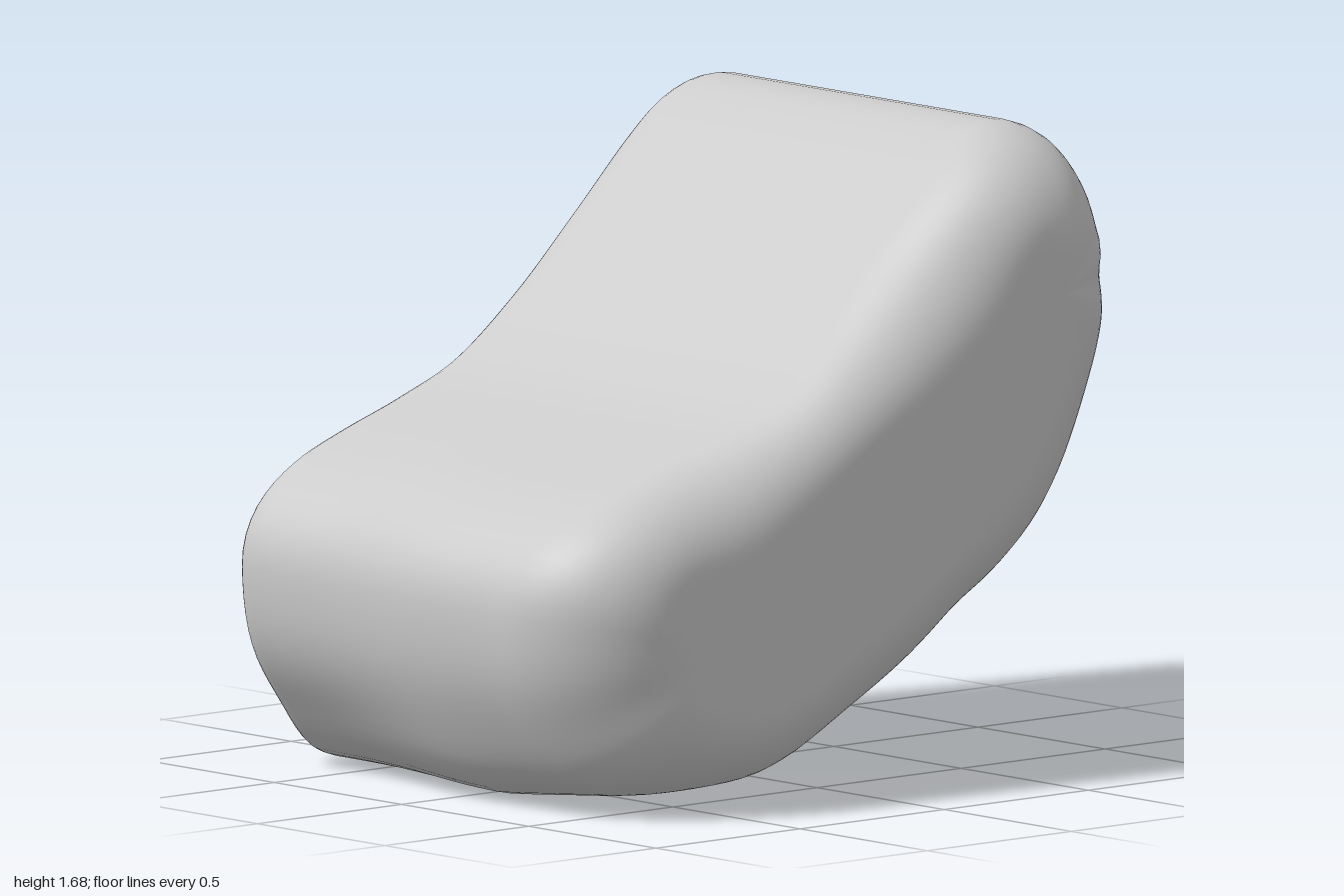
import * as THREE from 'three';

// Side outline as [z, y]: front, up over the seat and back, down the rear, along the underside
const OUTLINE = [
  [1.0, 0.5], [0.995, 0.6], [0.96, 0.68], [0.89, 0.75], [0.77, 0.815], [0.6, 0.875], [0.4, 0.94],
  [0.2, 1.02], [0, 1.17], [-0.2, 1.36], [-0.4, 1.55], [-0.5, 1.63], [-0.6, 1.675], [-0.7, 1.682],
  [-0.8, 1.65], [-0.9, 1.56], [-0.97, 1.46], [-0.998, 1.38], [-0.95, 1.25], [-0.83, 0.97],
  [-0.7, 0.69], [-0.6, 0.53], [-0.5, 0.43], [-0.35, 0.35], [0, 0.165], [0.2, 0.06], [0.32, 0.02],
  [0.5, 0.003], [0.65, 0.005], [0.76, 0.025], [0.84, 0.08], [0.93, 0.23], [0.98, 0.36],
];
const HALF = 0.738;
const COUNT = 128;
const { smoothstep, lerp, clamp } = THREE.MathUtils;

// Corners worn down along part of the width: place [z, y], reach, depth, x where it starts and is full
const SOFT_CORNERS = [
  { at: new THREE.Vector2(-0.48, 0.42), reach: 0.25, depth: 0.05, from: -0.2, to: 0.7 },
  { at: new THREE.Vector2(-0.99, 1.37), reach: 0.16, depth: 0.05, from: 0.2, to: 0.7 },
  { at: new THREE.Vector2(0.84, 0.08), reach: 0.18, depth: 0.04, from: 0.1, to: -0.6 },
];

// How far the outline shrinks at x for an edge of radius r ending at HALF
function edgeInset(x, r) {
  const u = clamp((x - HALF + r) / r, 0, 1);
  return r * (1 - Math.sqrt(1 - u * u));
}

// Average each profile point's inset direction and edge radius with its neighbours
function soften(profile) {
  return profile.map((s, j) => {
    const a = profile[(j + COUNT - 1) % COUNT];
    const b = profile[(j + 1) % COUNT];
    return {
      p: s.p,
      dir: s.dir.clone().multiplyScalar(2).add(a.dir).add(b.dir).normalize(),
      left: (a.left + 2 * s.left + b.left) / 4,
      right: (a.right + 2 * s.right + b.right) / 4,
    };
  });
}

function createProfile() {
  const curve = new THREE.CatmullRomCurve3(
    OUTLINE.map(([z, y]) => new THREE.Vector3(z, y, 0)), true, 'centripetal');
  const outline = curve.getSpacedPoints(COUNT).slice(0, COUNT)
    .map((p) => new THREE.Vector2(p.x, p.y));

  // Bent centre line that the rounded edges shrink towards
  const spine = new THREE.QuadraticBezierCurve(
    new THREE.Vector2(0.5, 0.45), new THREE.Vector2(-0.15, 0.55), new THREE.Vector2(-0.62, 1.25));
  const spinePoints = spine.getPoints(60);
  const frontDir = spine.getTangent(0).negate();
  const topDir = spine.getTangent(1);

  let profile = outline.map((p) => {
    const q = spinePoints.reduce((a, b) => (b.distanceTo(p) < a.distanceTo(p) ? b : a));
    const dir = q.clone().sub(p).normalize();
    const atEnd = smoothstep(Math.max(-dir.dot(frontDir), -dir.dot(topDir)), 0.15, 0.95);
    // Seat edge is tighter than the underside edge
    const side = dir.y > 0 ? 0.17 : 0.09;
    return { p, dir, left: lerp(0.06, 0.1, atEnd), right: lerp(side, 0.35, atEnd) };
  });
  for (let i = 0; i < 20; i++) profile = soften(profile);
  return profile;
}

// Outline point of the section at x
function sectionPoint({ p, dir, left, right }, x) {
  let inset = x > 0 ? edgeInset(x, right) : edgeInset(-x, left);
  for (const { at, reach, depth, from, to } of SOFT_CORNERS) {
    const near = Math.exp(-((p.distanceTo(at) / reach) ** 2));
    const t = clamp((x - from) / (to - from), 0, 1);
    inset += depth * near * smoothstep(t, 0, 1);
  }
  const v = p.clone().addScaledVector(dir, inset);
  // Front edge sits back on one side, rear edge on the other
  const rightward = smoothstep(x, -0.4, 0.1);
  v.x -= 0.045 * smoothstep(p.x, 0.5, 1) * (1 - rightward);
  v.x += 0.015 * smoothstep(-p.x, 0.7, 1) * rightward;
  // Underside lifts towards one side
  v.y += 0.11 * Math.max(0, x - 0.1) * Math.max(0, dir.y);
  return v;
}

function createCushion() {
  const profile = createProfile();

  // Stations along x, closer together in the rounded edges
  const xs = [];
  for (let i = 0; i <= 8; i++) xs.push(-HALF + 0.1 * (1 - Math.cos((i / 8) * Math.PI / 2)));
  for (let i = 1; i <= 14; i++) xs.push(lerp(0.1 - HALF, HALF - 0.36, i / 14));
  for (let i = 1; i <= 20; i++) xs.push(HALF - 0.36 + 0.36 * Math.sin((i / 20) * Math.PI / 2));

  const positions = [];
  const index = [];
  const rings = xs.map((x) => profile.map((s) => sectionPoint(s, x)));
  rings.forEach((ring, i) => ring.forEach((v, j) => {
    positions.push(xs[i], v.y, v.x);
    if (i === rings.length - 1) return;
    const a = i * COUNT + j;
    const b = i * COUNT + ((j + 1) % COUNT);
    index.push(a, a + COUNT, b, b, a + COUNT, b + COUNT);
  }));

  // Flat side faces
  const last = (rings.length - 1) * COUNT;
  for (const [a, b, c] of THREE.ShapeUtils.triangulateShape(rings[0], [])) index.push(a, b, c);
  for (const [a, b, c] of THREE.ShapeUtils.triangulateShape(rings[rings.length - 1], [])) {
    index.push(last + a, last + c, last + b);
  }

  const geometry = new THREE.BufferGeometry();
  geometry.setAttribute('position', new THREE.Float32BufferAttribute(positions, 3));
  geometry.setIndex(index);
  geometry.computeVertexNormals();
  return geometry;
}

export function createModel() {
  const group = new THREE.Group();
  const cushion = new THREE.Mesh(createCushion(), new THREE.MeshStandardMaterial({ color: 0xcccccc }));
  cushion.name = 'bentCushion';
  group.add(cushion);
  return group;
}
